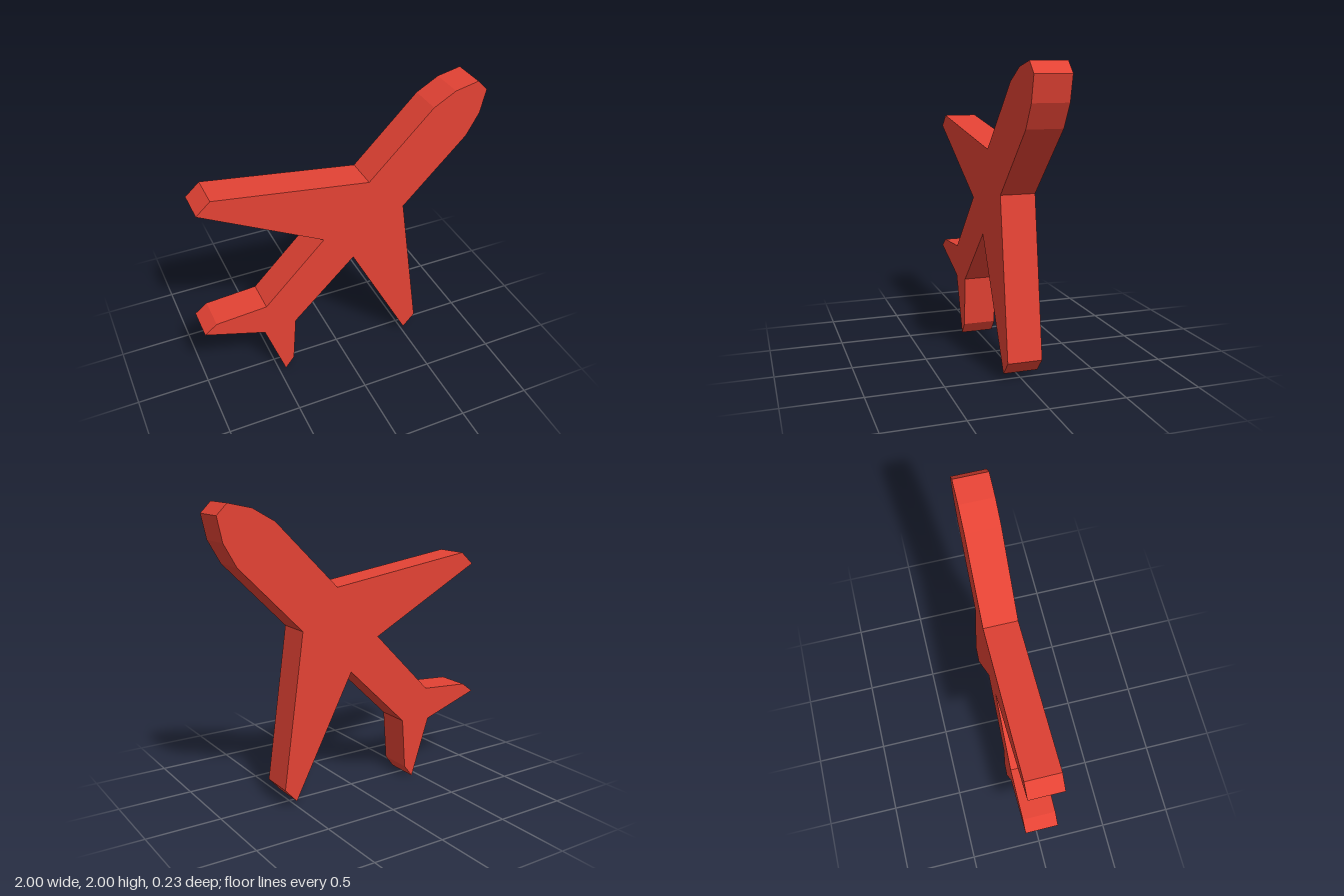
import * as THREE from 'three';

const THICKNESS = 0.23;

export function createModel() {
  const red = new THREE.MeshStandardMaterial({ color: 0xe34234 });
  red.name = 'red';

  // One half of the outline, from the nose down to the notch between the tail fins
  const half = [
    [0.93, 2.0], [0.77, 1.965], [0.62, 1.88],           // rounded nose
    [0.18, 1.44], [-0.865, 1.59], [-0.96, 1.505],       // wing leading edge and tip
    [-0.14, 1.075], [-0.565, 0.64],                     // wing trailing edge, rear fuselage
    [-0.915, 0.615], [-1.0, 0.55], [-0.588, 0.412],     // tail fin
  ];

  // The plane is symmetric about the diagonal y = x + 1
  const mirrored = half.slice(0, -1).reverse().map(([x, y]) => [y - 1, x + 1]);
  const outline = [...half, ...mirrored].map(([x, y]) => new THREE.Vector2(x, y));

  // Flat slab with sharp edges
  const geometry = new THREE.ExtrudeGeometry(new THREE.Shape(outline), {
    depth: THICKNESS,
    bevelEnabled: false,
  });
  geometry.translate(0, 0, -THICKNESS / 2);

  const body = new THREE.Mesh(geometry, red);
  body.name = 'airplaneBody';

  const group = new THREE.Group();
  group.name = 'airplane';
  group.add(body);
  return group;
}
